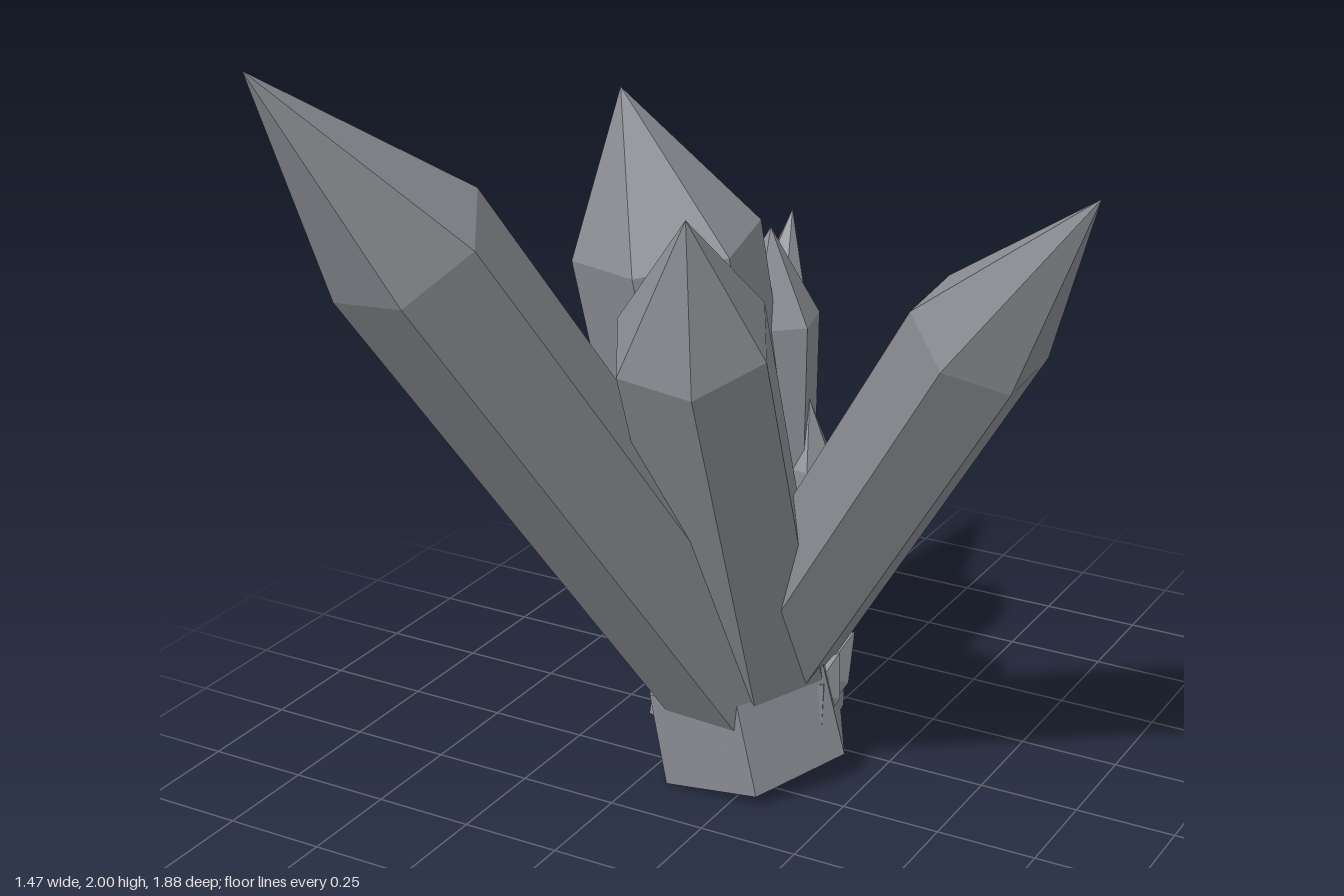
import * as THREE from 'three';

const stone = new THREE.MeshStandardMaterial({ color: 0x8e9096, flatShading: true, side: THREE.DoubleSide });
stone.name = 'grey crystal';

// Six-sided prism from base to shoulder, closed by a point at the tip.
// "corner" is the direction of the first corner of the cross-section.
function crystal(name, { base, shoulder, tip, radius, baseRadius = radius, corner, sides = 6 }) {
  const b = new THREE.Vector3(...base);
  const s = new THREE.Vector3(...shoulder);
  const t = new THREE.Vector3(...tip);
  const axis = s.clone().sub(b).normalize();
  const u = new THREE.Vector3(...corner);
  u.addScaledVector(axis, -u.dot(axis)).normalize();
  const v = axis.clone().cross(u);
  const ring = (centre, r) => Array.from({ length: sides }, (_, i) => {
    const a = (i / sides) * Math.PI * 2;
    return centre.clone().addScaledVector(u, r * Math.cos(a)).addScaledVector(v, r * Math.sin(a));
  });
  const low = ring(b, baseRadius);
  const high = ring(s, radius);
  const points = [];
  for (let i = 0; i < sides; i++) {
    const j = (i + 1) % sides;
    points.push(low[i], low[j], high[j], low[i], high[j], high[i]); // side
    points.push(high[i], high[j], t); // point
    points.push(low[j], low[i], b); // end cap
  }
  const geometry = new THREE.BufferGeometry().setFromPoints(points);
  geometry.computeVertexNormals();
  const mesh = new THREE.Mesh(geometry, stone);
  mesh.name = name;
  return mesh;
}

// Tilted hexagonal collar with a hollow underside
function collar(name, radius, height, position, tilt, turn) {
  const profile = [
    [0, 0.07], [radius * 0.72, 0.07], [radius * 0.8, 0], [radius, 0],
    [radius * 0.96, height], [0, height],
  ].map(([x, y]) => new THREE.Vector2(x, y));
  const geometry = new THREE.LatheGeometry(profile, 6);
  geometry.rotateY(turn);
  const mesh = new THREE.Mesh(geometry, stone);
  mesh.name = name;
  mesh.position.set(...position);
  mesh.rotation.set(tilt[0], 0, tilt[1]);
  return mesh;
}

export function createModel() {
  const model = new THREE.Group();
  model.name = 'crystalCluster';

  // Main crystals
  model.add(
    crystal('frontLeaningCrystal', {
      base: [-0.305, 0.24, -0.30], shoulder: [-0.56, 1.58, 0.605], tip: [-0.66, 2, 0.94],
      radius: 0.185, corner: [1, 0.1, 0.1],
    }),
    crystal('sideLeaningCrystal', {
      base: [-0.30, 0.27, -0.385], shoulder: [0.415, 1.35, -0.04], tip: [0.73, 1.73, 0.11],
      radius: 0.157, corner: [-0.115, 0.06, 0.08],
    }),
    crystal('shortFrontCrystal', {
      base: [-0.29, 0.2, -0.37], shoulder: [-0.18, 1.29, 0.13], tip: [-0.1, 1.61, 0.28],
      radius: 0.185, corner: [1, 0, 0.05],
    }),
    crystal('uprightCrystal', {
      base: [-0.31, 0.15, -0.36], shoulder: [-0.435, 1.38, -0.2], tip: [-0.51, 1.74, -0.14],
      radius: 0.22, baseRadius: 0.2, corner: [0.94, 0, 0.34],
    }),
    crystal('smallUprightCrystal', {
      base: [-0.3, 0.2, -0.4], shoulder: [-0.3, 1.15, -0.425], tip: [-0.29, 1.37, -0.425],
      radius: 0.128, baseRadius: 0.115, corner: [0.97, 0, 0.26],
    }),
    crystal('backLeaningCrystal', {
      base: [-0.32, 0.25, -0.32], shoulder: [-0.47, 0.925, -0.74], tip: [-0.51, 1.24, -0.94],
      radius: 0.115, corner: [-1, 0, 0.2],
    }),
    crystal('thinCrystal', {
      base: [-0.25, 0.2, -0.41], shoulder: [-0.2, 0.8, -0.43], tip: [-0.19, 0.96, -0.43],
      radius: 0.075, corner: [1, 0, 0],
    }),
  );

  // Stub at the foot
  model.add(
    collar('lowerStub', 0.255, 0.25, [-0.305, 0.05, -0.36], [0.13, 0.13], Math.PI / 6),
    collar('upperStub', 0.25, 0.16, [-0.33, 0.13, -0.37], [-0.08, -0.06], 0.25),
  );

  // Small shards around the rim: foot and tip
  [
    [[-0.46, 0.16, -0.3], [-0.49, 0.38, -0.27]],
    [[-0.46, 0.22, -0.38], [-0.56, 0.23, -0.42]],
    [[-0.38, 0.18, -0.52], [-0.42, 0.32, -0.57]],
    [[-0.26, 0.2, -0.52], [-0.2, 0.27, -0.6]],
    [[-0.2, 0.18, -0.47], [-0.11, 0.33, -0.52]],
    [[-0.16, 0.2, -0.36], [-0.09, 0.33, -0.4]],
  ].forEach(([foot, tip], i) => {
    const middle = foot.map((f, k) => f + (tip[k] - f) * 0.35);
    model.add(crystal(`rimShard${i + 1}`, {
      base: foot, shoulder: middle, tip, radius: 0.065, corner: [0.3, 0.2, 1], sides: 4,
    }));
  });

  return model;
}
